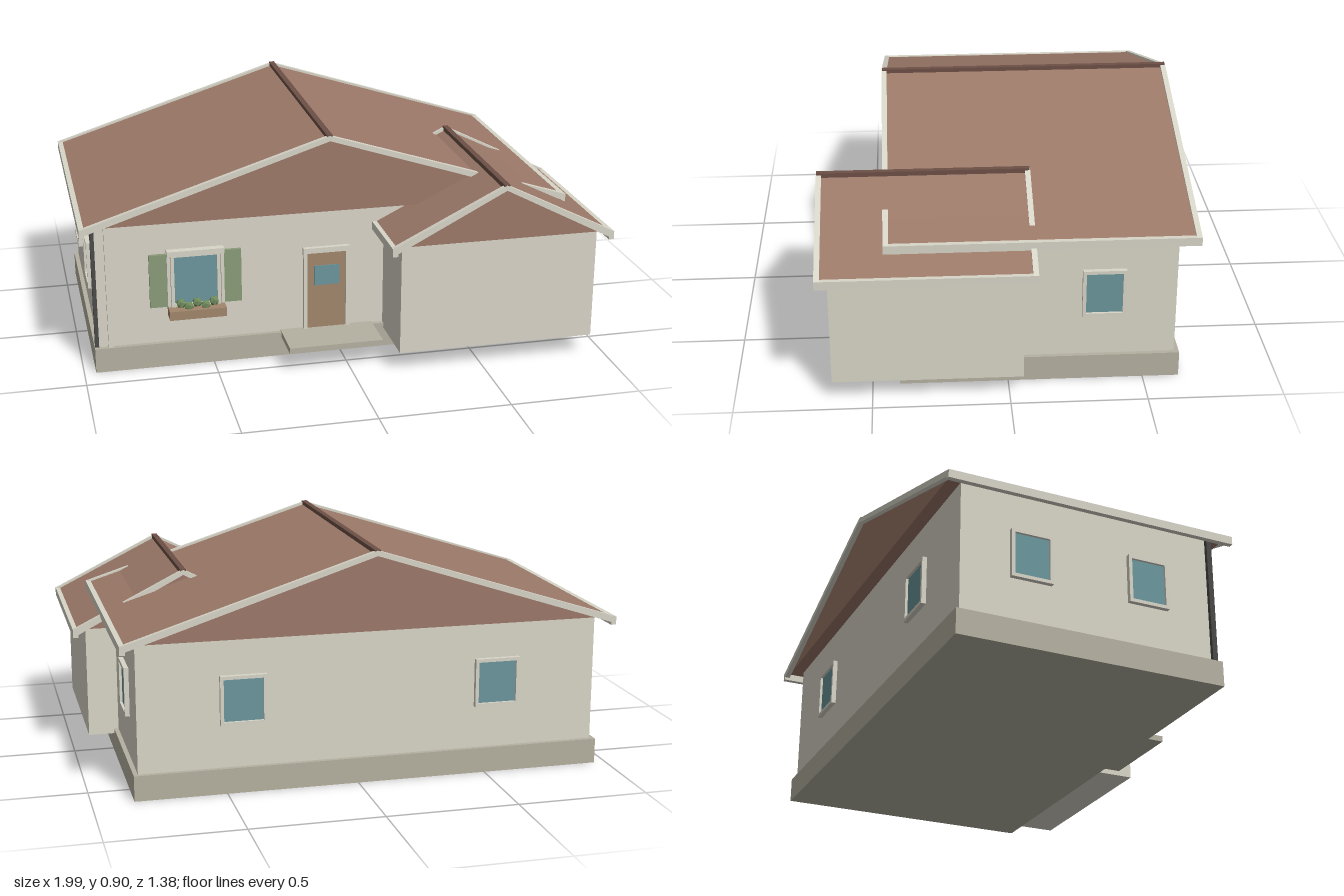
import * as THREE from 'three';

const mat = (color) => new THREE.MeshStandardMaterial({ color, flatShading: true });

export function createModel() {
  const house = new THREE.Group();
  house.name = 'house';
  const M = {
    wall: mat(0xd9d5c7), base: mat(0xb5b1a1), trim: mat(0xd8d5c8), roof: mat(0x9c7969),
    ridge: mat(0x6d5046), glass: mat(0x6b969c), shutter: mat(0x8a9c78), wood: mat(0xa2866b),
    pipe: mat(0x4a4a48), leaf: mat(0x6f8a5c),
  };

  // Box given by its minimum and maximum on each axis
  function box(name, m, x0, x1, y0, y1, z0, z1, parent = house) {
    const mesh = new THREE.Mesh(new THREE.BoxGeometry(x1 - x0, y1 - y0, z1 - z0), m);
    mesh.position.set((x0 + x1) / 2, (y0 + y1) / 2, (z0 + z1) / 2);
    mesh.name = name;
    parent.add(mesh);
    return mesh;
  }

  // Outline in x and y, extruded from z0 to z1
  function prism(name, m, points, z0, z1, parent) {
    const shape = new THREE.Shape(points.map(([x, y]) => new THREE.Vector2(x, y)));
    const geo = new THREE.ExtrudeGeometry(shape, { depth: z1 - z0, bevelEnabled: false });
    const mesh = new THREE.Mesh(geo.translate(0, 0, z0), m);
    mesh.name = name;
    parent.add(mesh);
  }

  // Solid gable roof with rake boards, eave fascias and a ridge cap
  function gableRoof(name, cx, half, eave, apex, z0, z1) {
    const roof = new THREE.Group();
    roof.name = name;
    house.add(roof);
    const t = 0.02, h = half - 0.01;
    prism('roofBody', M.roof, [[cx - h, eave], [cx + h, eave], [cx, apex - 0.01]], z0 + t, z1 - t, roof);
    const rake = [
      [cx - half, eave - 0.022], [cx - half + 0.022, eave - 0.016], [cx, apex - 0.02],
      [cx + half - 0.022, eave - 0.016], [cx + half, eave - 0.022],
      [cx + half, eave + 0.003], [cx, apex], [cx - half, eave + 0.003],
    ];
    prism('rearRake', M.trim, rake, z0, z0 + t, roof);
    prism('frontRake', M.trim, rake, z1 - t, z1, roof);
    for (const s of [-1, 1]) {
      const a = cx + s * half, b = cx + s * (half - 0.02);
      box('eaveFascia', M.trim, Math.min(a, b), Math.max(a, b), eave - 0.028, eave + 0.004, z0, z1, roof);
    }
    box('ridgeCap', M.ridge, cx - 0.011, cx + 0.011, apex - 0.018, apex + 0.002, z0 + 0.002, z1 - 0.002, roof);
  }

  // Framed window facing +z, centred on its own origin
  function framedWindow(name, w, h) {
    const g = new THREE.Group();
    g.name = name;
    const b = 0.013, x = w / 2, y = h / 2;
    box('glass', M.glass, -x + b, x - b, -y + b, y - b, -0.005, 0.008, g);
    for (const s of [-1, 1]) {
      const cx = s * (x - b / 2), cy = s * (y - b / 2);
      box('frameSide', M.trim, cx - b / 2, cx + b / 2, -y, y, -0.005, 0.018, g);
      box('frameRail', M.trim, -x + b, x - b, cy - b / 2, cy + b / 2, -0.005, 0.018, g);
    }
    house.add(g);
    return g;
  }

  // Main body
  box('foundation', M.base, -0.955, 0.845, 0, 0.097, -0.635, 0.4);
  box('mainWalls', M.wall, -0.938, 0.828, 0.097, 0.596, -0.617, 0.382);
  gableRoof('mainRoof', -0.053, 0.943, 0.593, 0.896, -0.687, 0.447);

  // Front wing
  box('wingWalls', M.wall, 0.175, 0.945, 0.078, 0.517, -0.05, 0.645);
  gableRoof('wingRoof', 0.563, 0.434, 0.517, 0.736, -0.097, 0.688);

  // Porch and door
  box('porchSlab', M.base, -0.235, 0.13, 0.079, 0.102, 0.38, 0.565);
  box('door', M.wood, -0.13, 0.022, 0.1, 0.415, 0.375, 0.39);
  box('doorGlass', M.glass, -0.102, -0.003, 0.28, 0.36, 0.375, 0.394);
  box('doorFrameLeft', M.trim, 0.022, 0.037, 0.1, 0.415, 0.375, 0.4);
  box('doorFrameRight', M.trim, -0.145, -0.13, 0.1, 0.415, 0.375, 0.4);
  box('doorFrameTop', M.trim, -0.145, 0.037, 0.415, 0.436, 0.375, 0.4);

  // Front window with lintel, shutters and flower box
  framedWindow('frontWindow', 0.19, 0.215).position.set(-0.563, 0.35, 0.384);
  box('lintel', M.trim, -0.672, -0.454, 0.452, 0.472, 0.38, 0.412);
  for (const x of [-0.739, -0.454]) box('shutter', M.shutter, x, x + 0.067, 0.245, 0.457, 0.38, 0.396);
  for (const x of [-0.672, -0.466]) box('windowCasing', M.trim, x, x + 0.012, 0.245, 0.452, 0.38, 0.402);
  box('flowerBox', M.wood, -0.672, -0.454, 0.208, 0.243, 0.38, 0.447);
  [-0.625, -0.595, -0.563, -0.53, -0.498].forEach((x, i) => {
    const plant = new THREE.Mesh(new THREE.IcosahedronGeometry(0.02, 0), M.leaf);
    plant.name = 'plant';
    plant.position.set(x, i % 2 ? 0.25 : 0.264, 0.418);
    house.add(plant);
  });

  // Side and rear windows: x, z, turn about y
  const q = Math.PI / 2;
  for (const [name, x, z, turn] of [
    ['leftWindow', 0.828, -0.35, q],
    ['rearWindow', 0.435, -0.617, 2 * q], ['rearWindow', -0.545, -0.617, 2 * q],
    ['rightWindow', -0.938, -0.35, -q], ['rightWindow', -0.938, 0.11, -q],
  ]) {
    const w = framedWindow(name, turn === 2 * q ? 0.175 : 0.16, 0.187);
    w.position.set(x, 0.355, z);
    w.rotation.y = turn;
  }

  // Downspouts at the front corner
  box('sideDownspout', M.pipe, -0.953, -0.938, 0.097, 0.59, 0.362, 0.382);
  box('frontDownspout', M.trim, -0.903, -0.888, 0.097, 0.59, 0.382, 0.398);
  return house;
}
